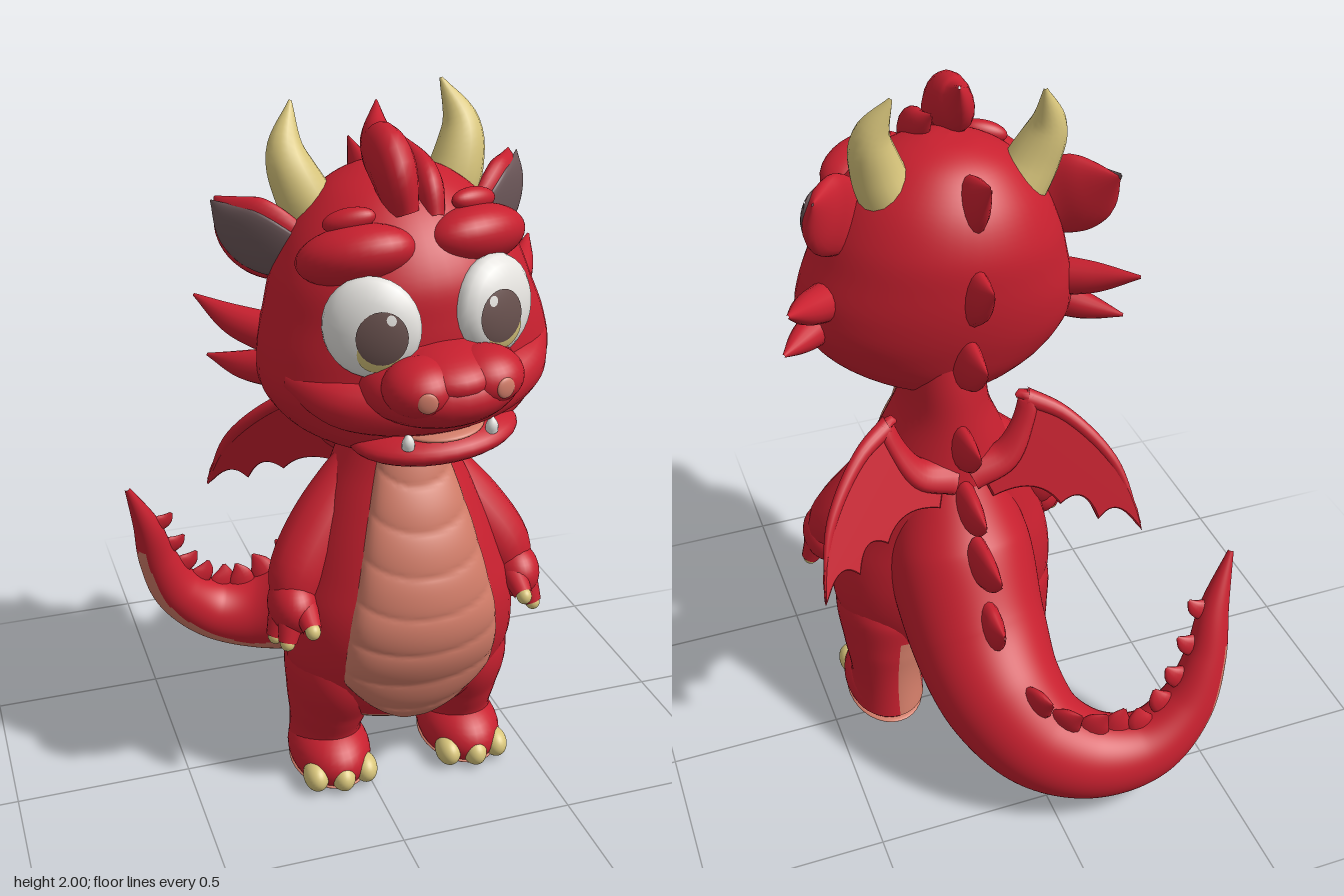
import * as THREE from 'three';
import { mergeVertices } from 'three/addons/utils/BufferGeometryUtils.js';

const V = (a) => new THREE.Vector3(...a);
const mat = (name, color) => Object.assign(new THREE.MeshStandardMaterial({ color }), { name });
const clamp = THREE.MathUtils.clamp;

// weld a geometry and give it smooth normals
function smooth(geo) {
  geo.deleteAttribute('uv');
  geo.deleteAttribute('normal');
  const g = mergeVertices(geo, 1e-5);
  g.computeVertexNormals();
  return g;
}

// tapered tube through points; flattened along the direction n
function sweep(points, radii, { n = null, flat = 1, seg = 20, sides = 16 } = {}) {
  const path = new THREE.CatmullRomCurve3(points.map(V));
  const rad = new THREE.CatmullRomCurve3(radii.map((r) => V([r, 0, 0])), false, 'catmullrom');
  const geo = new THREE.TubeGeometry(path, seg, 1, sides);
  const pos = geo.attributes.position, d = V([0, 0, 0]), dir = n && V(n).normalize();
  for (let i = 0; i < pos.count; i++) {
    const u = Math.floor(i / (sides + 1)) / seg, c = path.getPointAt(u);
    const r = Math.max(rad.getPoint(path.getUtoTmapping(u)).x, 0.003);
    d.fromBufferAttribute(pos, i).sub(c).multiplyScalar(r);
    if (dir) d.addScaledVector(dir, -d.dot(dir) * (1 - flat));
    d.add(c);
    pos.setXYZ(i, d.x, d.y, d.z);
  }
  return smooth(geo);
}

// rings stacked upward; each row is [y, half width, front z, back z]
function loft(rows, { t0 = 0, t1 = 1, rings = 60, sides = 48, half = () => Math.PI, grow = () => 0 } = {}) {
  const A = new THREE.CatmullRomCurve3(rows.map((r) => V([r[1], r[0], r[2]])), false, 'catmullrom');
  const B = new THREE.CatmullRomCurve3(rows.map((r) => V([0, r[0], r[3]])), false, 'catmullrom');
  const p = [], idx = [];
  for (let i = 0; i <= rings; i++) {
    const t = t0 + (t1 - t0) * i / rings, a = A.getPoint(t), b = B.getPoint(t);
    for (let j = 0; j <= sides; j++) {
      const u = 2 * j / sides - 1, ang = u * half(a.y), g = grow(a.y, u);
      p.push((a.x + g) * Math.sin(ang), a.y, (a.z + b.z) / 2 + ((a.z - b.z) / 2 + g) * Math.cos(ang));
      if (i < rings && j < sides) {
        const k = i * (sides + 1) + j, m = k + sides + 1;
        idx.push(k, k + 1, m, k + 1, m + 1, m);
      }
    }
  }
  const geo = new THREE.BufferGeometry();
  geo.setAttribute('position', new THREE.Float32BufferAttribute(p, 3));
  geo.setIndex(idx);
  return smooth(geo);
}

// split four-sided faces into two material groups by a rule on normal and position
function paint(geo, test) {
  const parts = [[], []], ix = geo.index.array, P = geo.attributes.position, N = geo.attributes.normal, v = V([0, 0, 0]);
  for (let i = 0; i < ix.length; i += 6) {
    const n = V([0, 0, 0]), c = V([0, 0, 0]), f = ix.slice(i, i + 6);
    for (const k of f) { n.add(v.fromBufferAttribute(N, k)); c.add(v.fromBufferAttribute(P, k)); }
    parts[test(n.normalize(), c.divideScalar(6)) ? 1 : 0].push(...f);
  }
  geo.setIndex([...parts[0], ...parts[1]]);
  geo.addGroup(0, parts[0].length, 0);
  geo.addGroup(parts[0].length, parts[1].length, 1);
  return geo;
}

function ball([x, y, z], [rx, ry, rz], [ax, ay, az] = [0, 0, 0]) {
  return new THREE.SphereGeometry(1, 32, 20).scale(rx, ry, rz).rotateX(ax).rotateZ(az).rotateY(ay).translate(x, y, z);
}

function add(group, name, geo, material) {
  const m = new THREE.Mesh(geo, material);
  m.name = name;
  group.add(m);
}

// a part on the left (+x) and its mirror image on the right
function pair(group, name, geo, material) {
  const g = geo.index ? geo : mergeVertices(geo), r = g.clone().scale(-1, 1, 1), ix = r.index.array;
  for (let i = 0; i < ix.length; i += 3) [ix[i], ix[i + 1]] = [ix[i + 1], ix[i]];
  add(group, name + 'Left', g, material);
  add(group, name + 'Right', r, material);
}

export function createModel() {
  const red = mat('scaleRed', 0xc8202f), skin = mat('bellyPink', 0xd27d69), gold = mat('hornGold', 0xd9c67c);
  const earGrey = mat('innerEar', 0x6b5658), white = mat('eyeWhite', 0xe6e4e0), brown = mat('irisBrown', 0x6b5350);
  const model = new THREE.Group(), torso = new THREE.Group(), headPivot = new THREE.Group(), head = new THREE.Group();
  model.name = 'dragon'; torso.name = 'torso'; headPivot.name = 'headTilt'; head.name = 'head';
  torso.position.x = 0.115;
  headPivot.position.set(0.1, 1.2, 0);
  headPivot.rotation.z = 0.08;
  head.position.y = -1.2;
  headPivot.add(head);
  model.add(torso, headPivot);

  // body and ribbed belly
  const bodyRows = [[0.17, 0.002, 0.071, 0.069], [0.2, 0.18, 0.2, -0.06], [0.28, 0.28, 0.28, -0.1], [0.4, 0.33, 0.335, -0.14],
    [0.5, 0.335, 0.37, -0.16], [0.6, 0.32, 0.38, -0.16], [0.7, 0.285, 0.365, -0.15], [0.8, 0.25, 0.335, -0.14],
    [0.9, 0.21, 0.295, -0.13], [1, 0.165, 0.25, -0.12], [1.1, 0.125, 0.215, -0.11], [1.2, 0.115, 0.205, -0.1], [1.3, 0.11, 0.18, -0.08]];
  add(torso, 'body', paint(loft(bodyRows), (n, c) => n.y < -0.7 && c.y < 0.3), [red, skin]);
  add(torso, 'belly', loft(bodyRows, {
    t0: 0.13, t1: 0.93, rings: 110, sides: 30,
    half: (y) => 0.73 * Math.sqrt(clamp((y - 0.225) / 0.17, 0.02, 1)),
    grow: (y, u) => {
      const f = (y - 0.05 * u * u + 0.06) / 0.115;
      return (0.014 + 0.008 * Math.sqrt(Math.sin(Math.PI * (f - Math.floor(f))))) * (1 - u ** 8) - 0.004 * u ** 8;
    },
  }), skin);

  // arms, hands and claws
  pair(torso, 'arm', sweep([[0.07, 1.04, 0.04], [0.13, 0.92, 0.055], [0.225, 0.79, 0.09], [0.3, 0.68, 0.13], [0.33, 0.6, 0.16]],
    [0.04, 0.08, 0.095, 0.088, 0.06]), red);
  pair(torso, 'hand', ball([0.33, 0.61, 0.165], [0.07, 0.08, 0.095]), red);
  for (const [b, t] of [[[0.31, 0.62, 0.21], [0.31, 0.59, 0.29]], [[0.35, 0.58, 0.21], [0.365, 0.53, 0.23]],
    [[0.365, 0.58, 0.165], [0.385, 0.525, 0.175]]]) {
    pair(torso, 'finger', sweep([b, t], [0.036, 0.026], { seg: 8 }), red);
    pair(torso, 'fingerClaw', ball(t, [0.021, 0.024, 0.024]), gold);
  }

  // legs with pink inner backs, feet, soles and toe claws
  pair(torso, 'leg', paint(sweep([[0.16, 0.55, 0.09], [0.185, 0.38, 0.09], [0.2, 0.24, 0.065], [0.205, 0.14, 0.05], [0.205, 0.04, 0.05]],
    [0.13, 0.18, 0.152, 0.13, 0.138], { n: [1, 0, 0], flat: 0.8, seg: 30, sides: 40 }),
  (n, c) => c.y < 0.33 && -0.75 * n.x - 0.66 * n.z > 0.62), [red, skin]);
  const foot = ball([0.205, 0.06, 0.085], [0.118, 0.1, 0.17]), fp = foot.attributes.position;
  for (let i = 0; i < fp.count; i++) fp.setY(i, Math.max(fp.getY(i), 0.008));
  pair(torso, 'foot', smooth(foot), red);
  pair(torso, 'sole', ball([0.205, 0.014, 0.08], [0.113, 0.014, 0.166]), skin);
  for (const dx of [-0.074, 0, 0.074]) {
    pair(torso, 'toeClaw', ball([0.205 + dx, 0.043, dx ? 0.2 : 0.222], [0.036, 0.043, 0.053]), gold);
  }

  // wings: scalloped membrane, arm bone and leading edge, leaning backward and outward
  const w = new THREE.Shape();
  w.moveTo(0.05, 0.95);
  w.quadraticCurveTo(0.17, 1.02, 0.205, 1.14);
  w.bezierCurveTo(0.3, 1.1, 0.43, 0.98, 0.452, 0.78);
  w.quadraticCurveTo(0.4, 0.88, 0.345, 0.81);
  w.quadraticCurveTo(0.32, 0.91, 0.25, 0.85);
  w.quadraticCurveTo(0.2, 0.93, 0.08, 0.87);
  const lean = new THREE.Matrix4().set(1, 0, 0, 0, 0, 1, 0, 0, -0.376, 0.4, 1, -0.461, 0, 0, 0, 1);
  pair(torso, 'wing', new THREE.ExtrudeGeometry(w, { depth: 0.012, bevelThickness: 0.005, bevelSize: 0.005, bevelSegments: 1, curveSegments: 12 }).applyMatrix4(lean), red);
  pair(torso, 'wingBone', sweep([[0.02, 0.93, 0], [0.12, 0.97, 0.006], [0.175, 1.05, 0.006], [0.2, 1.135, 0.006], [0.17, 1.13, 0.006]],
    [0.045, 0.035, 0.026, 0.022, 0.004]).applyMatrix4(lean), red);
  pair(torso, 'wingEdge', sweep([[0.195, 1.13, 0.006], [0.29, 1.085, 0.006], [0.4, 0.96, 0.006], [0.452, 0.79, 0.006]], [0.024, 0.02, 0.015, 0.004]).applyMatrix4(lean), red);

  // tail growing out of the back, with pink underside
  const tailPts = [[0.115, 0.9, 0.02], [0.115, 0.66, -0.06], [0.11, 0.45, -0.21], [0.085, 0.32, -0.36], [0.005, 0.22, -0.47], [-0.13, 0.17, -0.54],
    [-0.28, 0.19, -0.57], [-0.4, 0.29, -0.555], [-0.465, 0.43, -0.525], [-0.5, 0.57, -0.485], [-0.56, 0.73, -0.44]];
  const tailR = [0.13, 0.205, 0.2, 0.178, 0.152, 0.125, 0.1, 0.08, 0.06, 0.042, 0.008];
  const under = (p) => {
    const s = clamp((-0.2 - p.x) / 0.3, 0, 1);
    return V([-s, s - 1, 0.5 * clamp((p.x + 0.2) / 0.3, 0, 1)]).normalize();
  };
  add(model, 'tail', paint(sweep(tailPts, tailR, { seg: 140, sides: 96 }), (n, c) => c.y < 0.48 && n.dot(under(c)) > 0.54), [red, skin]);

  // spikes down the tail
  const tail = new THREE.CatmullRomCurve3(tailPts.map(V));
  for (let k = 0; k < 9; k++) {
    const t = 0.34 + k * 0.07, i = t * 10, a = Math.floor(i), r = THREE.MathUtils.lerp(tailR[a], tailR[a + 1], i - a);
    const c = tail.getPoint(t), tan = tail.getTangent(t), up = under(c).negate();
    up.addScaledVector(tan, -up.dot(tan)).normalize();
    const s = 0.058 - 0.003 * k, at = (h, f) => c.clone().addScaledVector(up, h).addScaledVector(tan, f).toArray();
    add(model, 'tailSpike', sweep([at(r - 0.03, -0.01), at(r + s * 0.5, 0), at(r + s * 1.3, 0.02)], [s, s * 0.75, 0.004],
      { n: tan.clone().cross(up).toArray(), flat: 0.45, seg: 10, sides: 12 }), red);
  }

  // spikes down the back and the back of the head: [base y, z, tip y, z]
  const spike = (group, [by, bz, ty, tz], r) => add(group, 'backSpike',
    sweep([[0, by, bz], [0, (by + ty) / 2 - 0.005, (bz + tz) / 2], [0, ty, tz]], [r, r * 0.72, 0.004], { n: [1, 0, 0], flat: 0.45 }), red);
  for (const s of [[1.02, -0.08, 1.09, -0.27], [0.85, -0.14, 0.89, -0.31], [0.73, -0.24, 0.79, -0.43], [0.57, -0.33, 0.62, -0.45]]) spike(torso, s, 0.075);
  for (const s of [[1.7, -0.02, 1.82, -0.165], [1.49, -0.09, 1.57, -0.245], [1.28, -0.06, 1.34, -0.25]]) spike(head, s, 0.085);

  // skull, muzzle with nostrils, smiling lip, jaw
  add(head, 'skull', loft([[1.13, 0.002, 0.261, 0.259], [1.15, 0.19, 0.44, 0], [1.2, 0.31, 0.47, -0.06], [1.3, 0.382, 0.48, -0.1],
    [1.4, 0.38, 0.48, -0.125], [1.5, 0.35, 0.475, -0.135], [1.6, 0.315, 0.46, -0.13], [1.7, 0.255, 0.4, -0.09],
    [1.78, 0.17, 0.31, -0.02], [1.82, 0.08, 0.22, 0.06], [1.83, 0.001, 0.151, 0.149]]), red);
  add(head, 'muzzle', ball([0, 1.36, 0.44], [0.205, 0.105, 0.21]), red);
  add(head, 'snoutBridge', ball([0, 1.4, 0.5], [0.13, 0.065, 0.145]), red);
  pair(head, 'nostrilBump', ball([0.082, 1.388, 0.545], [0.095, 0.072, 0.098]), red);
  pair(head, 'nostril', ball([0.098, 1.385, 0.637], [0.025, 0.026, 0.008], [0, 0.25, 0]), skin);
  add(head, 'upperLip', sweep([[-0.33, 1.36, 0.28], [-0.22, 1.315, 0.395], [0, 1.305, 0.49], [0.22, 1.315, 0.395], [0.33, 1.36, 0.28]],
    [0.035, 0.07, 0.07, 0.07, 0.035], { seg: 40 }), red);
  add(head, 'jaw', ball([0, 1.19, 0.38], [0.22, 0.055, 0.175]), red);
  add(head, 'tongue', ball([0, 1.23, 0.44], [0.11, 0.018, 0.105]), skin);
  pair(head, 'tooth', sweep([[0.11, 1.215, 0.505], [0.11, 1.235, 0.51], [0.11, 1.255, 0.51]], [0.016, 0.015, 0.004], { seg: 8 }), white);

  // eyes with curved iris plates, lids and brows
  const cap = (size, tiltX, tiltY, k) => new THREE.SphereGeometry(1, 28, 10, 0, Math.PI * 2, 0, size).rotateX(Math.PI / 2 + tiltX)
    .rotateY(tiltY).scale(0.122 * k, 0.127 * k, 0.06 * k).rotateX(-0.08).rotateY(0.46).translate(0.158, 1.515, 0.432);
  pair(head, 'eyeball', cap(Math.PI, 0, 0, 1), white);
  pair(head, 'irisRim', cap(0.45, 0.46, -0.22, 1.02), gold);
  pair(head, 'iris', cap(0.54, 0.12, -0.3, 1.04), brown);
  pair(head, 'eyeGlint', cap(0.1, -0.24, -0.48, 1.06), white);
  pair(head, 'eyelid', ball([0.155, 1.665, 0.335], [0.15, 0.075, 0.1], [-0.35, 0.46, -0.15]), red);
  pair(head, 'brow', ball([0.16, 1.75, 0.32], [0.066, 0.03, 0.03], [-0.4, 0.35, -0.15]), red);

  // horns, ears and cheek spikes
  pair(head, 'horn', sweep([[0.155, 1.66, 0.085], [0.21, 1.77, 0.085], [0.234, 1.87, 0.065], [0.2, 1.985, 0.028]], [0.08, 0.07, 0.05, 0.004]), gold);
  const ear = (o, k, flat) => sweep([[0.22, 1.61, 0.14], [0.31, 1.655, 0.09], [0.365, 1.695, 0.035], [0.405, 1.755, -0.035]].map(
    ([x, y, z]) => [x + o * 0.6, y - o * 0.1, z + o * 0.8]), [0.07, 0.105, 0.09, 0.004].map((r) => r * k), { n: [0.6, -0.1, 0.8], flat, sides: 24 });
  pair(head, 'ear', ear(0, 1, 0.35), red);
  pair(head, 'innerEar', ear(0.025, 0.75, 0.18), earGrey);
  pair(head, 'upperCheekSpike', sweep([[0.29, 1.4, 0.13], [0.4, 1.435, 0.02], [0.48, 1.485, -0.09]], [0.06, 0.042, 0.004]), red);
  pair(head, 'lowerCheekSpike', sweep([[0.31, 1.33, 0.15], [0.4, 1.325, 0.06], [0.475, 1.335, -0.03]], [0.055, 0.038, 0.004]), red);

  // flame-shaped crest
  add(head, 'crest', sweep([[-0.02, 1.74, 0.31], [-0.03, 1.85, 0.28], [-0.03, 1.89, 0.18], [0, 1.97, 0.1]], [0.06, 0.085, 0.065, 0.004], { n: [1, 0, 0], flat: 0.65 }), red);
  add(head, 'smallCrest', sweep([[0.05, 1.72, 0.33], [0.055, 1.79, 0.29], [0.06, 1.83, 0.21], [0.05, 1.88, 0.15]], [0.04, 0.052, 0.04, 0.004], { n: [1, 0, 0], flat: 0.7 }), red);
  return model;
}
